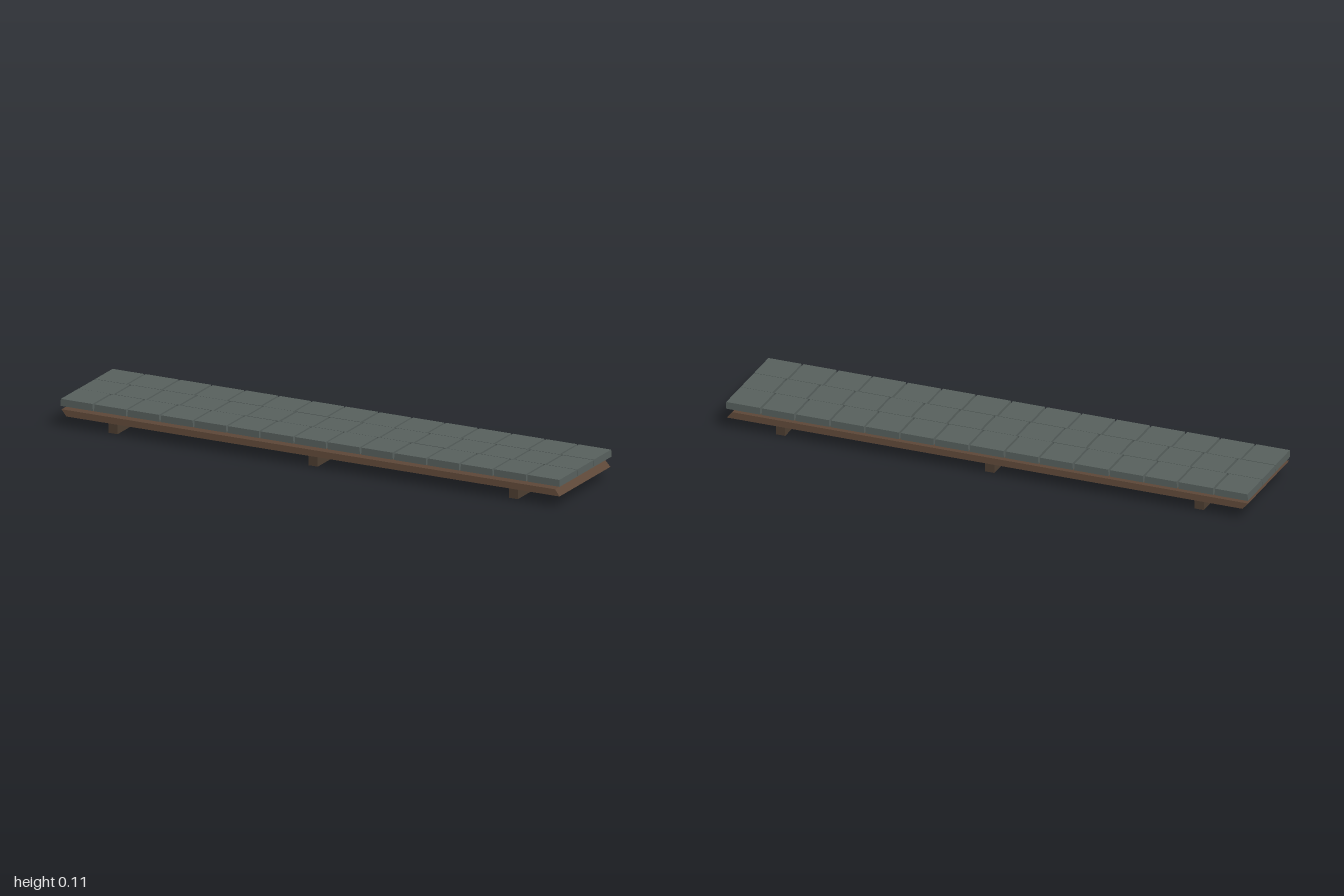
import * as THREE from 'three';

// Six-sided block with y from y0 to y1; bottom and top are [xMin, xMax, zMin, zMax]
function block(name, y0, y1, bottom, top, material) {
  const geo = new THREE.BoxGeometry(1, 1, 1);
  const p = geo.attributes.position;
  for (let i = 0; i < p.count; i++) {
    const up = p.getY(i) > 0;
    const r = up ? top : bottom;
    p.setXYZ(i, r[p.getX(i) > 0 ? 1 : 0], up ? y1 : y0, r[p.getZ(i) > 0 ? 3 : 2]);
  }
  geo.computeVertexNormals();
  const mesh = new THREE.Mesh(geo, material);
  mesh.name = name;
  return mesh;
}

export function createModel() {
  const slate = new THREE.MeshStandardMaterial({ color: 0x59625f });
  const boardWood = new THREE.MeshStandardMaterial({ color: 0x5e4838 });
  const beamWood = new THREE.MeshStandardMaterial({ color: 0x4f4033 });
  slate.name = 'slate';
  boardWood.name = 'boardWood';
  beamWood.name = 'beamWood';

  const model = new THREE.Group();
  model.name = 'tiledPlatform';

  // Cross beams underneath
  const beams = new THREE.Group();
  beams.name = 'crossBeams';
  for (const x of [-0.8, 0, 0.8]) {
    const r = [x - 0.018, x + 0.018, -0.171, 0.171];
    beams.add(block('crossBeam', 0, 0.038, r, r, beamWood));
  }
  model.add(beams);

  // Deck board with skewed ends and slightly flared long sides
  model.add(block('deckBoard', 0.043, 0.066,
    [-0.975, 0.996, -0.193, 0.193], [-0.996, 0.977, -0.19, 0.19], boardWood));

  // Three rows of fifteen slate tiles; the middle row is offset a little
  let seed = 7;
  const jitter = (a) => {
    seed = (seed * 16807) % 2147483647;
    return (seed / 2147483647 - 0.5) * 2 * a;
  };
  const rowEdges = [-0.199, -0.064, 0.061, 0.196];
  const shifts = [0, 0.009, 0];
  const columns = 15;
  const tiles = new THREE.Group();
  tiles.name = 'slateTiles';
  for (let row = 0; row < 3; row++) {
    const edges = [];
    for (let i = 0; i <= columns; i++) {
      const inner = i > 0 && i < columns;
      edges.push(-0.998 + (1.996 * i) / columns + (inner ? shifts[row] + jitter(0.003) : 0));
    }
    for (let c = 0; c < columns; c++) {
      const gap = 0.0025;
      const x0 = edges[c] + (c ? gap : 0);
      const x1 = edges[c + 1] - (c < columns - 1 ? gap : 0);
      const z0 = rowEdges[row] + 0.0008;
      const z1 = rowEdges[row + 1] - 0.0008;
      const b = 0.0015;
      tiles.add(block('slateTile', 0.08, 0.1055 + jitter(0.0005),
        [x0, x1, z0, z1], [x0 + b, x1 - b, z0 + b / 3, z1 - b / 3], slate));
    }
  }
  model.add(tiles);
  return model;
}
